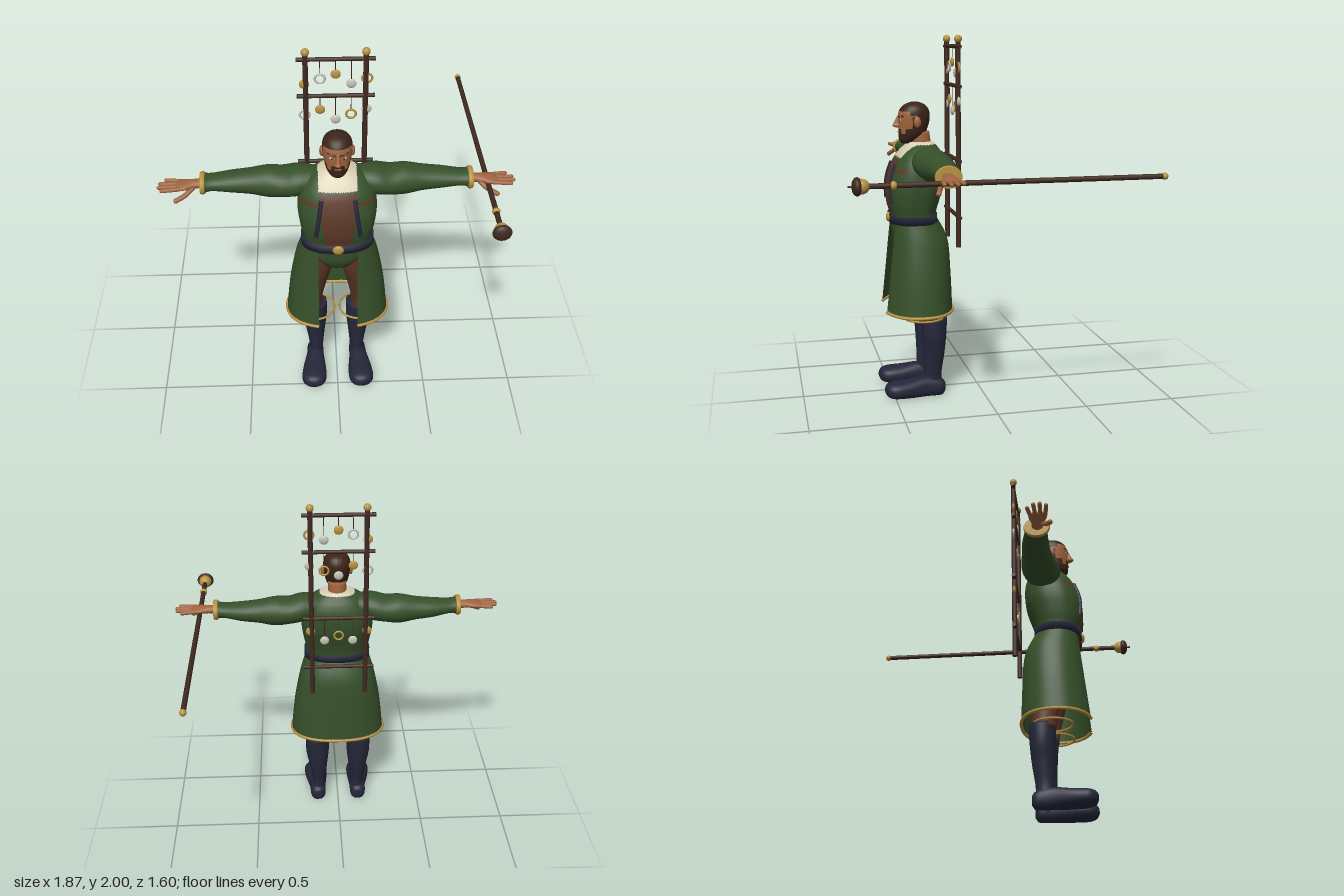
import * as THREE from 'three';

const mat = (name, color, side = THREE.FrontSide) => {
  const m = new THREE.MeshStandardMaterial({ color, side });
  m.name = name;
  return m;
};
const M = {
  green: mat('green cloth', 0x36502a, THREE.DoubleSide),
  gold: mat('gold', 0xb8923f),
  navy: mat('navy leather', 0x25273a),
  brown: mat('brown leather', 0x5c3826),
  skin: mat('skin', 0xa0653f),
  hair: mat('hair', 0x3a2418),
  cream: mat('cream linen', 0xd8cfb4),
  wood: mat('dark wood', 0x40291f),
  silver: mat('silver', 0xc6c3b6),
};
const V = (x, y, z) => new THREE.Vector3(x, y, z);

// Smooth interpolation between cross-sections [t, u, v, ru, rv]
function smoothRings(rings, steps) {
  const out = [], at = i => rings[Math.max(0, Math.min(rings.length - 1, i))];
  for (let i = 0; i < rings.length - 1; i++) {
    const [a, b, c, d] = [at(i - 1), at(i), at(i + 1), at(i + 2)];
    for (let s = 0; s < steps; s++) {
      const f = s / steps;
      out.push(b.map((p, k) => {
        const cubic = 3 * (p - c[k]) + d[k] - a[k];
        const square = 2 * a[k] - 5 * p + 4 * c[k] - d[k];
        return p + 0.5 * f * (c[k] - a[k] + f * (square + f * cubic));
      }));
    }
  }
  out.push(at(rings.length - 1));
  return out;
}

// Point on a rounded-box-like oval section
function ringPoint([t, u, v, ru, rv], a, n, axis) {
  const p = (w, r) => r * Math.sign(w) * Math.abs(w) ** (2 / n);
  const U = u + p(Math.sin(a), ru), W = v + p(Math.cos(a), rv);
  return axis === 'y' ? [U, t, W] : axis === 'z' ? [U, W, t] : [t, U, W];
}

// Skin over cross-sections; gap > 0 leaves an opening of that half-width at +z
function loft(rings, { axis = 'y', seg = 28, n = 2, steps = 5, gap = 0 } = {}) {
  const R = smoothRings(rings, steps), pos = [], idx = [];
  const cols = gap ? seg + 1 : seg;
  const tri = (a, b, c) => (axis === 'y' ? idx.push(a, b, c) : idx.push(a, c, b));
  for (const r of R) {
    const a0 = gap ? Math.asin((gap / r[3]) ** (n / 2)) : 0;
    for (let j = 0; j < cols; j++) pos.push(...ringPoint(r, a0 + (2 * Math.PI - 2 * a0) * j / seg, n, axis));
  }
  for (let i = 0; i < R.length - 1; i++) {
    for (let j = 0; j < seg; j++) {
      const k = (j + 1) % cols, a = i * cols, b = a + cols;
      tri(a + j, a + k, b + j);
      tri(a + k, b + k, b + j);
    }
  }
  if (!gap) {
    for (const i of [0, R.length - 1]) {
      const c = pos.length / 3, [t, u, v] = R[i];
      pos.push(...(axis === 'y' ? [u, t, v] : axis === 'z' ? [u, v, t] : [t, u, v]));
      for (let j = 0; j < seg; j++) {
        const p = i * cols + j, q = i * cols + (j + 1) % cols;
        if (i) tri(p, q, c); else tri(q, p, c);
      }
    }
  }
  const g = new THREE.BufferGeometry();
  g.setAttribute('position', new THREE.Float32BufferAttribute(pos, 3));
  g.setIndex(idx);
  g.computeVertexNormals();
  return g;
}

// Sort triangles into material groups by a rule on their centre
function paint(g, count, rule) {
  const p = g.attributes.position, ix = g.index.array, bins = Array.from({ length: count }, () => []);
  for (let i = 0; i < ix.length; i += 3) {
    const t = [ix[i], ix[i + 1], ix[i + 2]], mean = f => (p[f](t[0]) + p[f](t[1]) + p[f](t[2])) / 3;
    bins[rule(mean('getX'), mean('getY'), mean('getZ'))].push(...t);
  }
  g.setIndex(bins.flat());
  let start = 0;
  bins.forEach((b, i) => { g.addGroup(start, b.length, i); start += b.length; });
  return g;
}

function rod(a, b, r, round = false) {
  const d = b.clone().sub(a), L = d.length();
  const g = round ? new THREE.CapsuleGeometry(r, L, 6, 12) : new THREE.CylinderGeometry(r, r, L, 14);
  g.applyQuaternion(new THREE.Quaternion().setFromUnitVectors(V(0, 1, 0), d.normalize()));
  const c = a.clone().add(b).multiplyScalar(0.5);
  return g.translate(c.x, c.y, c.z);
}
const ball = (x, y, z, rx, ry = rx, rz = rx) => new THREE.SphereGeometry(1, 24, 16).scale(rx, ry, rz).translate(x, y, z);
const tube = (pts, r, seg = 24) => new THREE.TubeGeometry(new THREE.CatmullRomCurve3(pts), seg, r, 8);

export function createModel() {
  const root = new THREE.Group();
  const add = (name, geo, m) => {
    const mesh = new THREE.Mesh(geo, m);
    mesh.name = name;
    root.add(mesh);
  };
  const pair = (name, geo, m) => {
    add(name + 'Left', geo, m);
    const g = geo.clone().scale(-1, 1, 1), a = g.index.array;
    for (let i = 0; i < a.length; i += 3) [a[i], a[i + 1]] = [a[i + 1], a[i]];
    add(name + 'Right', g, m);
  };

  // Head with cropped hair and beard
  const head = loft([[1.415, 0, 0.4, 0.022, 0.022], [1.43, 0, 0.39, 0.042, 0.045], [1.46, 0, 0.37, 0.06, 0.07],
    [1.5, 0, 0.36, 0.07, 0.08], [1.54, 0, 0.355, 0.076, 0.086], [1.58, 0, 0.354, 0.077, 0.086],
    [1.61, 0, 0.352, 0.068, 0.073], [1.63, 0, 0.35, 0.048, 0.05], [1.642, 0, 0.35, 0.015, 0.015]], { seg: 80, n: 2.1, steps: 8 });
  add('head', paint(head, 2, (x, y, z) => {
    const hair = y > 1.592 || (z < 0.345 && y > 1.48) || (z < 0.385 && y > 1.57);
    const beard = y < 1.468 || (z < 0.372 && z > 0.33 && y < 1.56) || (y < 1.497 && (z < 0.41 || Math.abs(x) < 0.034));
    return hair || (beard && z > 0.32) ? 1 : 0;
  }), [M.skin, M.hair]);
  add('neck', loft([[1.33, 0, 0.32, 0.065, 0.065], [1.4, 0, 0.32, 0.055, 0.06], [1.48, 0, 0.33, 0.052, 0.06]]), M.skin);
  add('nose', loft([[1.502, 0, 0.441, 0.012, 0.012], [1.513, 0, 0.448, 0.018, 0.025], [1.53, 0, 0.445, 0.012, 0.02],
    [1.57, 0, 0.436, 0.008, 0.008]], { seg: 16 }), M.skin);
  add('lips', rod(V(-0.014, 1.478, 0.44), V(0.014, 1.478, 0.44), 0.004, true), M.skin);
  pair('ear', ball(0.079, 1.535, 0.348, 0.012, 0.03, 0.02), M.skin);
  pair('eye', ball(0.031, 1.544, 0.433, 0.013, 0.006, 0.005), M.cream);
  pair('iris', ball(0.031, 1.544, 0.437, 0.005, 0.0055, 0.003), M.hair);
  pair('brow', rod(V(0.013, 1.561, 0.439), V(0.05, 1.568, 0.42), 0.005, true), M.hair);

  // Coat body with leather vest front, harness strip and linen collar
  const torso = loft([[0.97, 0, 0.365, 0.183, 0.125], [1.03, 0, 0.37, 0.18, 0.125], [1.1, 0, 0.369, 0.195, 0.142],
    [1.2, 0, 0.353, 0.208, 0.158], [1.3, 0, 0.335, 0.198, 0.146], [1.36, 0, 0.325, 0.17, 0.12],
    [1.4, 0, 0.32, 0.125, 0.088], [1.425, 0, 0.32, 0.07, 0.065]], { seg: 144, n: 2.5, steps: 9 });
  add('coatBody', paint(torso, 3, (x, y, z) => {
    const w = Math.abs(x);
    if (y > 1.412 || (z > 0.33 && y > 1.345 && w < 0.1)) return 2;
    if (z < 0.36) return 0;
    return (y < 1.335 && w < 0.07 + (y - 1.04) * 0.1) || (y > 1.268 && y < 1.293 && w < 0.19) ? 1 : 0;
  }), [M.green, M.brown, M.cream]);
  pair('harnessStrap', tube([V(0.115, 1.1, 0.497), V(0.105, 1.17, 0.501), V(0.095, 1.24, 0.492), V(0.085, 1.31, 0.469)], 0.012), M.navy);
  pair('vestPiping', tube([V(0.074, 1.05, 0.49), V(0.082, 1.15, 0.506), V(0.09, 1.25, 0.487), V(0.098, 1.33, 0.45)], 0.003), M.brown);
  add('belt', loft([[0.985, 0, 0.37, 0.194, 0.133], [1.03, 0, 0.37, 0.194, 0.133]], { seg: 64, n: 2.5, steps: 1 }), M.navy);
  add('buckle', ball(0, 1.008, 0.503, 0.03, 0.027, 0.014), M.gold);

  // Open-fronted coat skirt and gold hem
  const hem = [0.49, 0, 0.35, 0.28, 0.193];
  add('coatSkirt', loft([hem, [0.7, 0, 0.343, 0.257, 0.178], [0.88, 0, 0.342, 0.222, 0.163], [0.99, 0, 0.362, 0.188, 0.133]],
    { seg: 64, n: 2.3, steps: 6, gap: 0.105 }), M.green);
  const a0 = Math.asin((0.105 / hem[3]) ** 1.15);
  const hemPts = Array.from({ length: 49 }, (_, i) => V(...ringPoint(hem, a0 + (2 * Math.PI - 2 * a0) * i / 48, 2.3, 'y')));
  add('skirtHem', tube(hemPts, 0.009, 120), M.gold);

  // Hips, trousers, garters and boots
  add('hips', paint(loft([[0.8, 0, 0.345, 0.03, 0.04], [0.83, 0, 0.345, 0.11, 0.09], [0.9, 0, 0.355, 0.165, 0.122],
    [0.99, 0, 0.365, 0.17, 0.12]], { seg: 80, steps: 10 }), 2, (x, y) => (y < 0.965 && y > 0.815 + Math.abs(x) ? 1 : 0)), [M.brown, M.green]);
  pair('trouserLeg', loft([[0.43, 0.137, 0.285, 0.055, 0.066], [0.52, 0.135, 0.295, 0.055, 0.07], [0.65, 0.122, 0.315, 0.066, 0.085],
    [0.8, 0.1, 0.34, 0.077, 0.1], [0.93, 0.085, 0.355, 0.075, 0.095]]), M.brown);
  pair('garter', new THREE.TorusGeometry(0.108, 0.006, 8, 48).rotateX(Math.PI / 2).translate(0.122, 0.455, 0.33), M.gold);
  pair('boot', loft([[0.04, 0.122, 0.285, 0.045, 0.055], [0.12, 0.119, 0.284, 0.04, 0.05], [0.24, 0.122, 0.277, 0.054, 0.06],
    [0.35, 0.126, 0.275, 0.07, 0.068], [0.455, 0.126, 0.276, 0.07, 0.075]]), M.navy);
  const foot = loft([[0.215, 0.125, 0.045, 0.02, 0.025], [0.24, 0.125, 0.045, 0.045, 0.05], [0.32, 0.127, 0.052, 0.05, 0.06],
    [0.42, 0.133, 0.048, 0.066, 0.052], [0.5, 0.137, 0.047, 0.07, 0.047], [0.54, 0.137, 0.048, 0.05, 0.035],
    [0.556, 0.137, 0.05, 0.015, 0.012]], { axis: 'z', n: 2.3 });
  const fp = foot.attributes.position;
  for (let i = 0; i < fp.count; i++) fp.setY(i, Math.max(0, fp.getY(i)));
  foot.computeVertexNormals();
  pair('shoe', foot, M.navy);

  // Sleeves, cuffs and open hands
  const X = { axis: 'x' };
  pair('sleeve', loft([[0.1, 1.34, 0.305, 0.06, 0.075], [0.2, 1.328, 0.3, 0.08, 0.1], [0.28, 1.315, 0.292, 0.077, 0.1],
    [0.36, 1.314, 0.286, 0.083, 0.09], [0.45, 1.315, 0.284, 0.066, 0.078], [0.55, 1.316, 0.286, 0.054, 0.071],
    [0.65, 1.32, 0.296, 0.041, 0.06], [0.7, 1.32, 0.303, 0.05, 0.064]], X), M.green);
  pair('cuff', loft([[0.684, 1.32, 0.302, 0.052, 0.065], [0.697, 1.32, 0.303, 0.057, 0.069], [0.71, 1.32, 0.303, 0.053, 0.065]], X), M.gold);
  pair('palm', loft([[0.68, 1.32, 0.305, 0.024, 0.03], [0.74, 1.321, 0.31, 0.022, 0.031], [0.79, 1.319, 0.315, 0.019, 0.046],
    [0.825, 1.318, 0.317, 0.014, 0.045], [0.84, 1.318, 0.317, 0.006, 0.035]], X), M.skin);
  [[0.279, 0.268, 0.89], [0.305, 0.301, 0.918], [0.33, 0.333, 0.923], [0.355, 0.364, 0.905]].forEach(([z0, z1, x], i) =>
    pair('finger' + (i + 1), rod(V(0.815, 1.318, z0), V(x, 1.316, z1), 0.0105, true), M.skin));
  pair('thumb', tube([V(0.745, 1.312, 0.33), V(0.785, 1.285, 0.36), V(0.835, 1.262, 0.378)], 0.013), M.skin);
  pair('thumbTip', ball(0.835, 1.262, 0.378, 0.0135), M.skin);

  // Back rack: two poles with finials, four crossbars
  const rz = 0.138;
  pair('rackPole', rod(V(0.153, 0.85, rz), V(0.153, 1.975, rz), 0.014), M.wood);
  pair('rackFinial', ball(0.153, 1.98, rz, 0.021), M.gold);
  const bars = [1.94, 1.73, 1.33, 1.02];
  bars.forEach((y, i) => add('rackBar' + (i + 1), rod(V(-0.2, y, rz), V(0.2, y, rz), 0.011), M.wood));

  // Hanging charms: b = bead, r = ring; G = gold, S = silver
  const rows = ['bG rS bG bS rG', 'rS bG bS rG bS', 'bG bS rG bS bG'];
  const drops = [[0.14, 0.11, 0.085, 0.14, 0.11], [0.11, 0.08, 0.14, 0.11, 0.08], [0.08, 0.14, 0.11, 0.14, 0.08]];
  rows.forEach((row, r) => row.split(' ').forEach((kind, i) => {
    const x = (i - 2) * 0.08, y = bars[r] - drops[r][i], m = kind[1] === 'G' ? M.gold : M.silver;
    add('charmCord', rod(V(x, y + 0.022, rz), V(x, bars[r], rz), 0.002), M.wood);
    add('charm', kind[0] === 'b' ? ball(x, y, rz, 0.026, 0.026, 0.01)
      : new THREE.TorusGeometry(0.025, 0.006, 8, 28).translate(x, y, rz), m);
  }));

  // Long staff held in the left hand
  const sx = 0.79, sy = 1.303;
  add('staffShaft', rod(V(sx, sy, -0.78), V(sx, sy, 0.71), 0.0135), M.wood);
  add('staffEnd', ball(sx, sy, -0.783, 0.018), M.gold);
  add('staffCollar', ball(sx, sy, 0.585, 0.021, 0.021, 0.018), M.gold);
  add('staffKnob', ball(sx, sy, 0.735, 0.037), M.gold);
  add('staffHead', ball(sx, sy, 0.757, 0.049, 0.045, 0.026), M.wood);
  add('staffTip', rod(V(sx, sy, 0.77), V(sx, sy, 0.8), 0.005), M.wood);

  return root;
}
